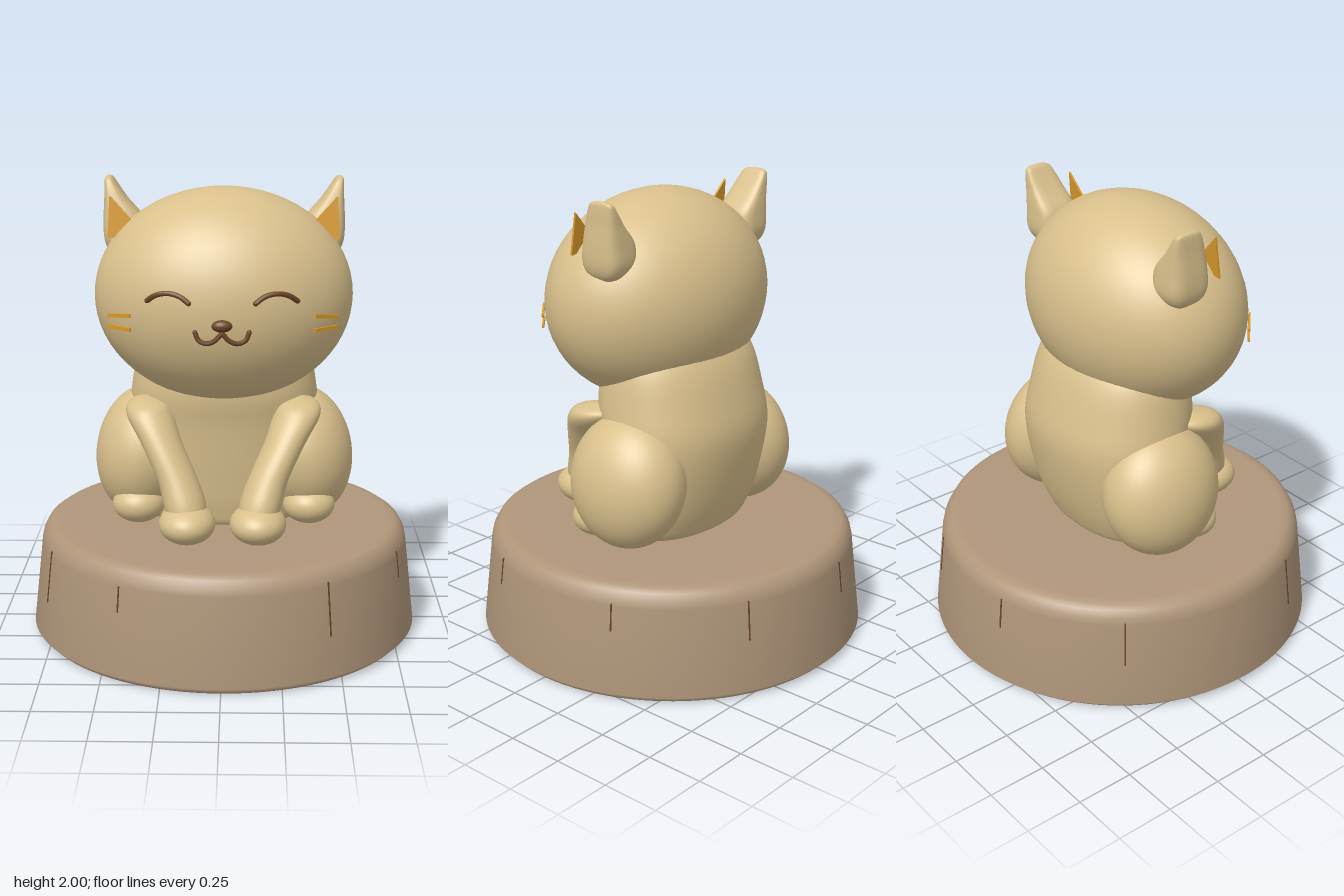
import * as THREE from 'three';

const V = (x, y, z) => new THREE.Vector3(x, y, z);

function material(name, color) {
  const m = new THREE.MeshStandardMaterial({ color });
  m.name = name;
  return m;
}

// Smooth skin through horizontal sections [y, cx, cz, rx, rz], listed upwards; power < 1 squares the section
function loft(sections, power = 1, steps = 32, sides = 40) {
  const centres = new THREE.CatmullRomCurve3(sections.map(s => V(s[1], s[0], s[2])), false, 'catmullrom', 0.5);
  const radii = new THREE.CatmullRomCurve3(sections.map(s => V(s[3], s[4], 0)), false, 'catmullrom', 0.5);
  const bend = v => Math.sign(v) * Math.pow(Math.abs(v), power);
  const pos = [], index = [];
  for (let i = 0; i <= steps; i++) {
    const c = centres.getPoint(i / steps), r = radii.getPoint(i / steps);
    for (let j = 0; j < sides; j++) {
      const a = j / sides * Math.PI * 2;
      pos.push(c.x + r.x * bend(Math.cos(a)), c.y, c.z + r.y * bend(Math.sin(a)));
      if (i === steps) continue;
      const k = (j + 1) % sides, p = i * sides, q = p + sides;
      index.push(p + j, q + j, p + k, q + j, q + k, p + k);
    }
  }
  const g = new THREE.BufferGeometry();
  g.setAttribute('position', new THREE.Float32BufferAttribute(pos, 3));
  g.setIndex(index);
  g.computeVertexNormals();
  return g;
}

export function createModel() {
  const group = new THREE.Group();
  const fur = material('cream fur', 0xd9c08c);
  const stone = material('pedestal tan', 0xb0967a);
  const brown = material('face brown', 0x6b4423);
  const gold = material('gold', 0xd99a2b);

  const add = (name, geometry, mat) => {
    const m = new THREE.Mesh(geometry, mat);
    m.name = name;
    group.add(m);
    return m;
  };
  const ball = (name, mat, [x, y, z], [rx, ry, rz]) => {
    const m = add(name, new THREE.SphereGeometry(1, 48, 32), mat);
    m.position.set(x, y, z);
    m.scale.set(rx, ry, rz);
    return m;
  };
  const tube = (name, mat, points, radius) => {
    add(name, new THREE.TubeGeometry(new THREE.CatmullRomCurve3(points), 20, radius, 8), mat);
    // rounded ends
    for (const p of [points[0], points[points.length - 1]]) {
      const end = ball(name + 'End', mat, [p.x, p.y, p.z], [radius, radius, radius]);
      end.geometry = new THREE.SphereGeometry(1, 10, 8);
    }
  };

  // Pedestal: soft upper shoulder, small chamfer at the foot
  const wall = [[0.825, 0], [0.855, 0.03], [0.812, 0.41], [0.805, 0.44], [0.788, 0.47],
    [0.765, 0.486], [0.73, 0.49], [0.6, 0.488], [0, 0.487]];
  add('pedestal', new THREE.LatheGeometry(wall.map(p => new THREE.Vector2(...p)), 96), stone);
  const underside = add('pedestalUnderside', new THREE.CircleGeometry(0.825, 96), stone);
  underside.rotation.x = Math.PI / 2;

  // Fine grooves on the pedestal wall: [x, z, low y, high y]
  for (const [x, z, low, high] of [[0.44, 0.69, 0.2, 0.43], [-0.42, 0.7, 0.3, 0.41], [0.755, 0.32, 0.31, 0.43],
    [-0.75, 0.35, 0.2, 0.43], [0.75, -0.32, 0.3, 0.42], [0.37, -0.74, 0.25, 0.42],
    [-0.19, -0.81, 0.28, 0.42], [-0.66, -0.5, 0.22, 0.42]]) {
    const g = new THREE.BoxGeometry(0.006, high - low, 0.006);
    const y = (low + high) / 2, r = 0.855 - (y - 0.03) * 0.113, a = Math.atan2(x, z);
    const groove = add('pedestalGroove', g, brown);
    groove.rotation.set(-0.113, a, 0, 'YXZ');
    groove.position.set(r * Math.sin(a), y, r * Math.cos(a));
  }

  // Torso
  add('torso', loft([
    [0.47, 0, -0.05, 0.01, 0.01], [0.48, 0, -0.05, 0.29, 0.18], [0.56, 0, -0.06, 0.37, 0.23],
    [0.73, 0, -0.075, 0.41, 0.27], [0.94, 0, -0.08, 0.42, 0.30], [1.1, 0, -0.055, 0.405, 0.30],
    [1.27, 0, -0.04, 0.37, 0.26], [1.4, 0, 0, 0.3, 0.2]], 0.92, 40, 56), fur);

  // Head
  const head = ball('head', fur, [0, 1.51, 0.08], [0.552, 0.457, 0.421]);
  head.rotation.x = -0.1;

  for (const s of [1, -1]) {
    const side = s > 0 ? 'left' : 'right';

    // Hind leg
    const thigh = ball(side + 'Thigh', fur, [s * 0.36, 0.775, -0.065], [0.212, 0.295, 0.275]);
    thigh.rotation.z = s * 0.15;
    ball(side + 'HindPaw', fur, [s * 0.375, 0.575, 0.1], [0.115, 0.085, 0.11]);

    // Front leg
    add(side + 'FrontLeg', loft([
      [0.55, s * 0.15, 0.39, 0.07, 0.08], [0.65, s * 0.16, 0.36, 0.09, 0.105],
      [0.76, s * 0.195, 0.325, 0.085, 0.095], [0.9, s * 0.265, 0.255, 0.088, 0.1],
      [1.0, s * 0.315, 0.18, 0.1, 0.115], [1.05, s * 0.325, 0.14, 0.08, 0.1],
      [1.075, s * 0.33, 0.12, 0.003, 0.003]]), fur);
    ball(side + 'FrontPaw', fur, [s * 0.15, 0.578, 0.393], [0.12, 0.085, 0.137]);

    // Ear, a slab tapering to a rounded tip
    add(side + 'Ear', loft([
      [1.66, s * 0.42, -0.035, 0.05, 0.04], [1.69, s * 0.425, -0.035, 0.075, 0.08],
      [1.74, s * 0.428, -0.035, 0.088, 0.1], [1.82, s * 0.433, -0.038, 0.085, 0.095],
      [1.9, s * 0.464, -0.046, 0.05, 0.081], [1.96, s * 0.485, -0.055, 0.028, 0.068],
      [1.99, s * 0.494, -0.06, 0.016, 0.052], [2.0, s * 0.496, -0.06, 0.001, 0.002]], 0.6), fur);

    // Inner ear plate
    const plate = new THREE.Shape([[0.48, 1.93], [0.385, 1.825], [0.455, 1.755], [0.49, 1.75]]
      .map(([x, y]) => new THREE.Vector2(s * x, y - 1.84)));
    const inner = add(side + 'InnerEar', new THREE.ExtrudeGeometry(plate, { depth: 0.009, bevelEnabled: false }), gold);
    inner.position.set(0, 1.84, 0.106);
    inner.rotation.x = -0.1;

    // Closed eye
    tube(side + 'Eye', brown, [V(s * 0.305, 1.543, 0.432), V(s * 0.27, 1.568, 0.452), V(s * 0.22, 1.579, 0.47),
      V(s * 0.17, 1.568, 0.485), V(s * 0.135, 1.543, 0.496)], 0.011);

    // Half of the mouth
    tube(side + 'Mouth', brown, [V(s * 0.11, 1.425, 0.492), V(s * 0.095, 1.392, 0.496), V(s * 0.062, 1.38, 0.502),
      V(s * 0.03, 1.392, 0.506), V(0, 1.424, 0.508)], 0.01);

    // Whiskers
    for (const [y0, y1] of [[1.473, 1.457], [1.414, 1.413]]) {
      const a = V(s * 0.378, y0, 0.4), b = V(s * 0.475, y1, 0.31);
      const whisker = add(side + 'Whisker', new THREE.BoxGeometry(0.009, 0.016, a.distanceTo(b)), gold);
      whisker.position.copy(a).add(b).multiplyScalar(0.5);
      whisker.lookAt(b);
    }
  }

  // Nose
  ball('nose', brown, [0, 1.455, 0.52], [0.042, 0.025, 0.026]);
  return group;
}
